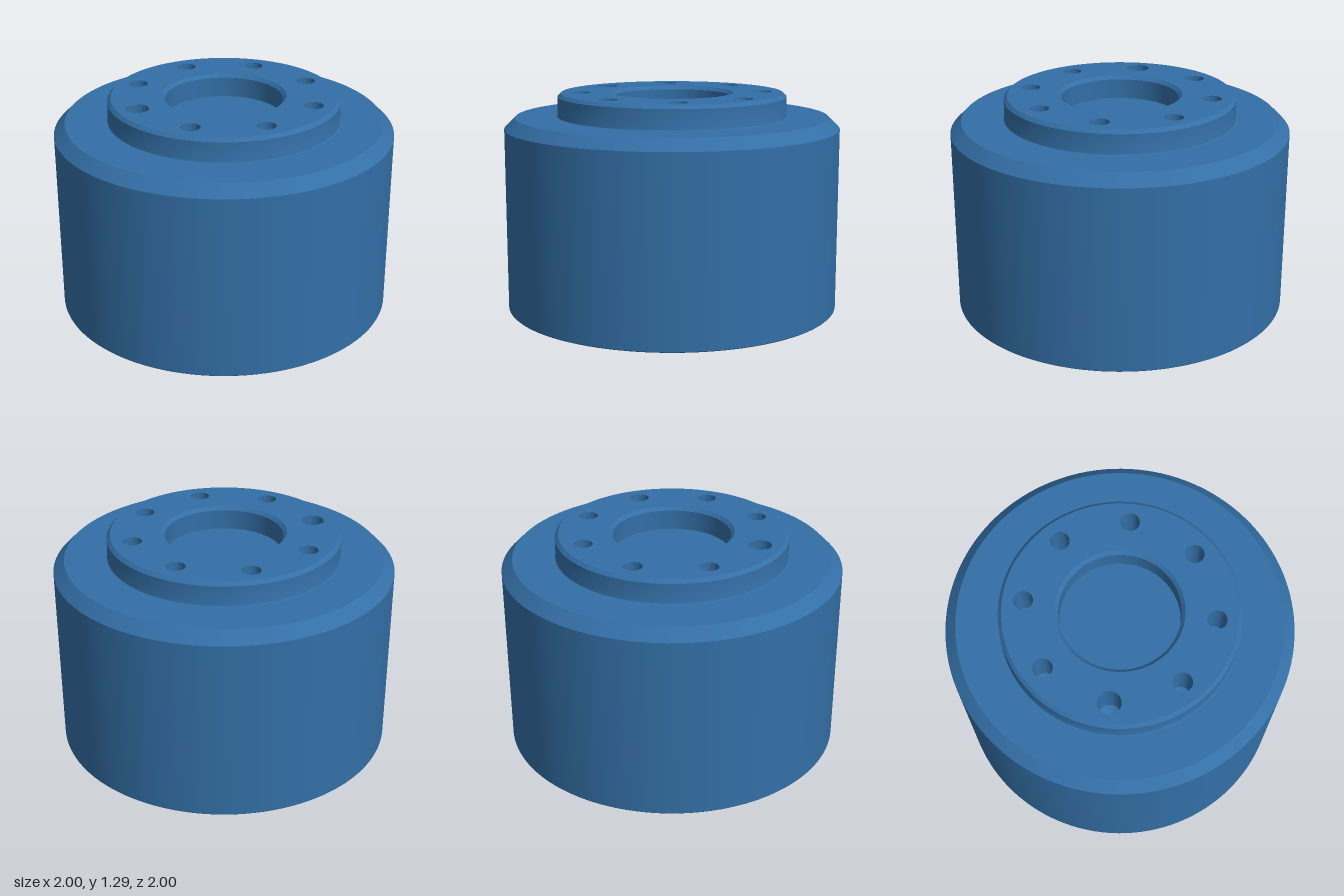
import * as THREE from 'three';
import { toCreasedNormals } from 'three/addons/utils/BufferGeometryUtils.js';

const SEG = 128;
const TOP = 1.295, SHOULDER = 1.155;
const RING_R = 0.663, BORE_R = 0.365;
const BOLT_R = 0.545;

export function createModel() {
  const group = new THREE.Group();
  const material = new THREE.MeshStandardMaterial({ color: 0x336fa6 });

  const add = (name, geometry) => {
    const mesh = new THREE.Mesh(geometry, material);
    mesh.name = name;
    group.add(mesh);
    return mesh;
  };
  const turned = (points) => toCreasedNormals(
    new THREE.LatheGeometry(points.map(([r, y]) => new THREE.Vector2(r, y)), SEG), 0.5);

  // Solid body: flat base, chamfered shoulder
  add('body', turned([
    [0, 0], [0.995, 0], [1, 0.005], [1, 1.09], [0.935, SHOULDER], [0.69, SHOULDER],
  ]));

  // Raised boss with a small root fillet and chamfered rim
  add('bossWall', turned([
    [0.69, SHOULDER], [0.685, 1.157], [0.683, 1.163], [0.683, 1.275], [RING_R, TOP],
  ]));

  // Shallow central recess with a chamfered lip
  add('recess', turned([
    [BORE_R, TOP], [0.345, 1.275], [0.345, SHOULDER], [0, SHOULDER],
  ]));

  // Eight holes on a circle, the one on the -x side slightly larger
  const holes = Array.from({ length: 8 }, (_, i) => {
    const a = (i * Math.PI) / 4;
    return { x: BOLT_R * Math.cos(a), z: BOLT_R * Math.sin(a), r: i === 4 ? 0.067 : 0.056 };
  });

  // Top face of the boss, pierced by the recess and holes
  const face = new THREE.Shape();
  face.absarc(0, 0, RING_R, 0, Math.PI * 2, false);
  const cut = (x, y, r) => face.holes.push(new THREE.Path().absarc(x, y, r, 0, Math.PI * 2, true));
  cut(0, 0, BORE_R);
  holes.forEach(({ x, z, r }) => cut(x, -z, r));
  const faceGeometry = new THREE.ShapeGeometry(face, SEG / 2);
  faceGeometry.rotateX(-Math.PI / 2);
  add('bossFace', faceGeometry).position.y = TOP;

  // Blind drilled holes with conical bottoms
  const depth = 0.25;
  holes.forEach(({ x, z, r }, i) => {
    const hole = add(`drilledHole${i + 1}`, turned([[r, 0], [r, -depth], [0, -depth - r * 0.6]]));
    hole.position.set(x, TOP, z);
  });

  return group;
}
